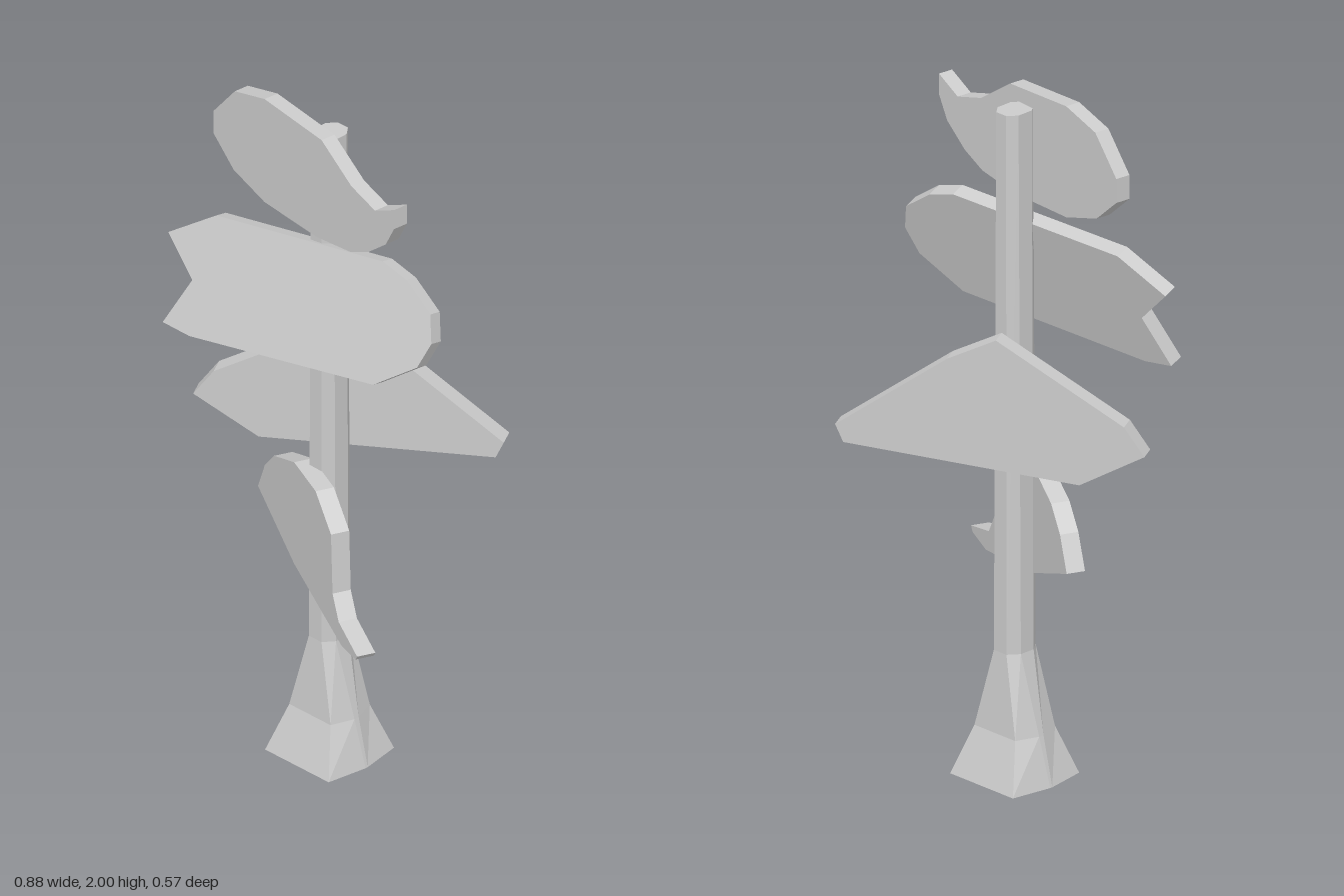
import * as THREE from 'three';

const material = new THREE.MeshStandardMaterial({ color: 0xcccccc, flatShading: true });

// Eight-sided post lofted through [y, front half width, side half width, half depth, side half depth]
function createPost() {
  const sections = [
    [0, 0.12, 0.14, 0.125, 0.004],
    [0.14, 0.078, 0.102, 0.075, 0.008],
    [0.37, 0.024, 0.048, 0.055, 0.024],
    [1.945, 0.019, 0.04, 0.051, 0.025],
  ];
  const positions = [];
  const index = [];
  for (const [y, a, b, h, s] of sections) {
    const ring = [[a, h], [b, s], [b, -s], [a, -h], [-a, -h], [-b, -s], [-b, s], [-a, h]];
    for (const [x, z] of ring) positions.push(x + 0.01, y, z + 0.036);
  }
  const last = (sections.length - 1) * 8;
  for (let r = 0; r < last; r += 8) {
    for (let i = 0; i < 8; i++) {
      const j = (i + 1) % 8;
      index.push(r + i, r + j, r + 8 + j, r + i, r + 8 + j, r + 8 + i);
    }
  }
  // End caps
  for (let i = 1; i < 7; i++) {
    index.push(last, last + i, last + i + 1, 0, i + 1, i);
  }
  const indexed = new THREE.BufferGeometry();
  indexed.setAttribute('position', new THREE.Float32BufferAttribute(positions, 3));
  indexed.setIndex(index);
  const geometry = indexed.toNonIndexed();
  geometry.computeVertexNormals();
  const mesh = new THREE.Mesh(geometry, material);
  mesh.name = 'post';
  return mesh;
}

// Flat board whose front face lies on the plane z = z0 + slopeX * x + slopeY * y
function createBoard({ name, outline, z0, slopeX, slopeY = 0, thickness }) {
  const shape = new THREE.Shape(outline.map(([x, y]) => new THREE.Vector2(x, y)));
  const geometry = new THREE.ExtrudeGeometry(shape, { depth: thickness, bevelEnabled: false });
  const normal = new THREE.Vector3(-slopeX, -slopeY, 1).normalize();
  const matrix = new THREE.Matrix4().makeBasis(
    new THREE.Vector3(1, 0, slopeX),
    new THREE.Vector3(0, 1, slopeY),
    normal,
  );
  matrix.setPosition(new THREE.Vector3(0, 0, z0).addScaledVector(normal, -thickness));
  geometry.applyMatrix4(matrix);
  geometry.computeVertexNormals();
  const mesh = new THREE.Mesh(geometry, material);
  mesh.name = name;
  return mesh;
}

const boards = [
  {
    name: 'topSign', z0: 0.12, slopeX: 0.105, thickness: 0.045,
    outline: [
      [-0.385, 1.86], [-0.295, 1.965], [-0.17, 2], [0.07, 1.985], [0.195, 1.9],
      [0.295, 1.87], [0.375, 1.91], [0.375, 1.85], [0.34, 1.785], [0.265, 1.725],
      [0.19, 1.69], [0.05, 1.67], [-0.17, 1.675], [-0.3, 1.715], [-0.385, 1.79],
    ],
  },
  {
    name: 'notchedSign', z0: 0.59, slopeX: -0.15, slopeY: -0.3, thickness: 0.045,
    outline: [
      [-0.435, 1.51], [-0.3, 1.6], [0.235, 1.645], [0.32, 1.62], [0.415, 1.555],
      [0.438, 1.48], [0.41, 1.405], [0.288, 1.318], [-0.302, 1.263], [-0.392, 1.273],
      [-0.33, 1.41],
    ],
  },
  {
    name: 'peakedSign', z0: -0.023, slopeX: -0.55, thickness: 0.055,
    outline: [
      [-0.365, 1.02], [-0.315, 1.1], [0, 1.31], [0.12, 1.24],
      [0.395, 1.01], [0.375, 0.96], [-0.205, 0.915],
    ],
  },
  {
    name: 'bottomSign', z0: 0.132, slopeX: 0.426, thickness: 0.053,
    outline: [
      [-0.285, 0.69], [-0.24, 0.785], [-0.18, 0.85], [-0.05, 0.91], [0.09, 0.905],
      [0.19, 0.83], [0.2, 0.65], [0.24, 0.585], [0.36, 0.55], [0.35, 0.535],
      [0.26, 0.522], [0.13, 0.55], [-0.05, 0.59],
    ],
  },
];

export function createModel() {
  const group = new THREE.Group();
  group.name = 'signpost';
  group.add(createPost());
  for (const board of boards) group.add(createBoard(board));
  return group;
}
